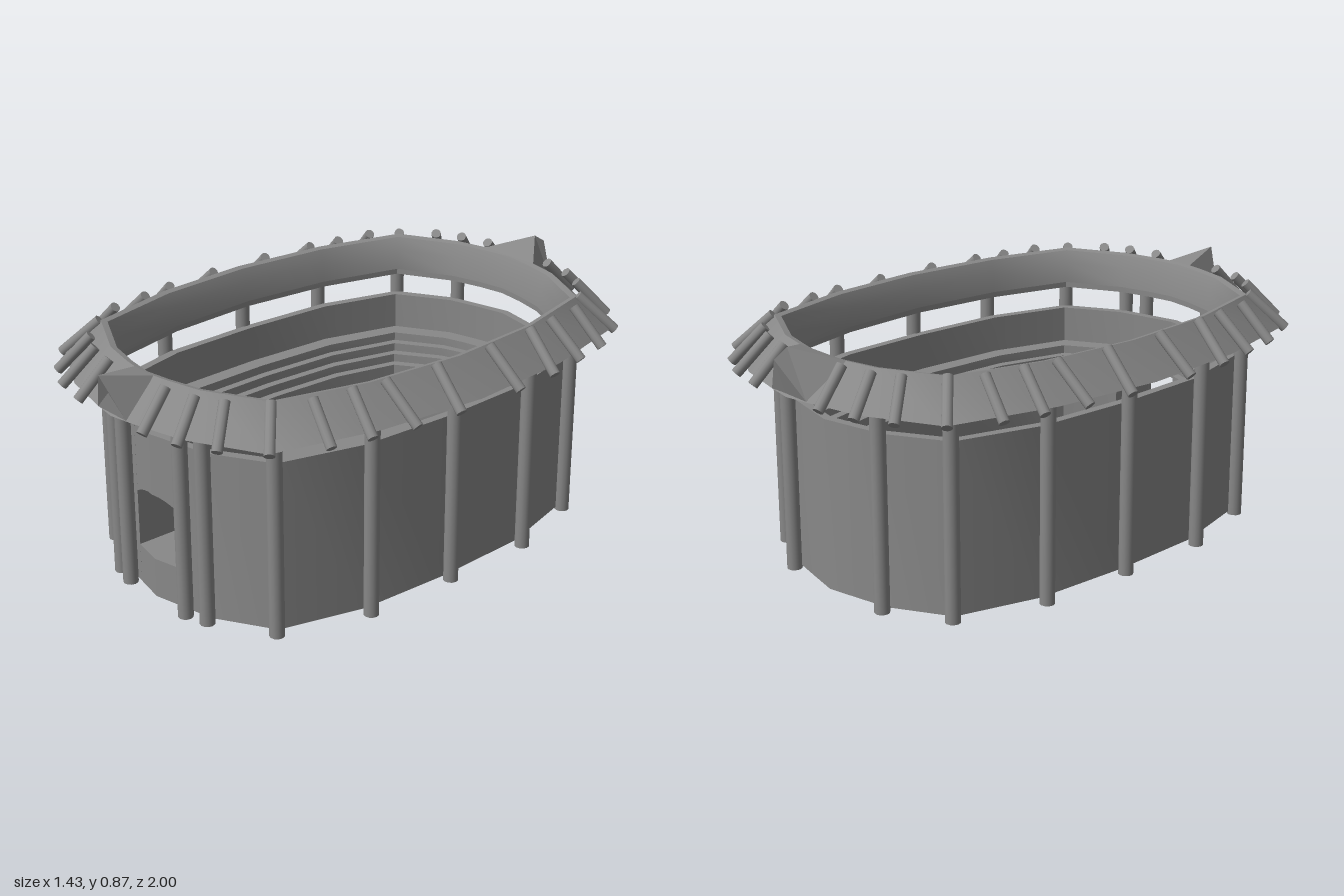
import * as THREE from 'three';
import { toCreasedNormals } from 'three/addons/utils/BufferGeometryUtils.js';

const grey = new THREE.MeshStandardMaterial({ color: 0x888888 });
const greyDouble = new THREE.MeshStandardMaterial({ color: 0x888888, side: THREE.DoubleSide });

// Quarter outlines [x, z], running from the side (+x) to the front (+z)
const WALL = [[0.53, 0], [0.515, 0.355], [0.433, 0.655], [0.235, 0.77], [0.115, 0.796], [0, 0.82]];
const RIDGE = [[0.565, 0], [0.535, 0.36], [0.45, 0.68], [0.235, 0.79], [0.1, 0.82], [0, 0.835]];
const EAVE = [[0.67, 0], [0.635, 0.4], [0.54, 0.77], [0.29, 0.9], [0.09, 0.945], [0, 0.96]];

// Shrinks an outline; points beside the doorway keep their x
const inset = (q, d) => q.map(([x, z]) => [x > 0.12 ? x * (1 - d / q[0][0]) : x, z * (1 - d / q[5][1])]);

// Mirrors a quarter outline into a full loop
function full(q) {
  const front = [...q, ...q.slice(0, -1).reverse().map(([x, z]) => [-x, z])];
  return [...front, ...front.slice(1, -1).reverse().map(([x, z]) => [x, -z])];
}

// Sweeps a closed section, given as [quarter outline, y] pairs, around the loop.
// With a doorway, the two front segments are left out and the ends capped.
function sweep(section, doorway, crease) {
  const loops = section.map(([q, y]) => full(q).map(([x, z]) => new THREE.Vector3(x, y, z)));
  const n = loops[0].length, m = loops.length, pos = [];
  const tri = (...pts) => pts.forEach((p) => pos.push(p.x, p.y, p.z));
  for (let i = 0; i < n; i++) {
    if (doorway && (i === 4 || i === 5)) continue;
    const k = (i + 1) % n;
    for (let j = 0; j < m; j++) {
      const lo = loops[j], hi = loops[(j + 1) % m];
      tri(lo[i], hi[i], hi[k]);
      tri(lo[i], hi[k], lo[k]);
    }
  }
  if (doorway) {
    for (const i of [4, 6]) {
      const flat = loops.map((l) => new THREE.Vector2(l[i].z, l[i].y));
      for (const f of THREE.ShapeUtils.triangulateShape(flat, [])) tri(...f.map((j) => loops[j][i]));
    }
  }
  const g = new THREE.BufferGeometry();
  g.setAttribute('position', new THREE.Float32BufferAttribute(pos, 3));
  return toCreasedNormals(g, crease);
}

// Round pole between two points
function pole(a, b, r) {
  const dir = b.clone().sub(a);
  const mesh = new THREE.Mesh(new THREE.CylinderGeometry(r, r, dir.length(), 12), grey);
  mesh.position.copy(a).lerp(b, 0.5);
  mesh.quaternion.setFromUnitVectors(new THREE.Vector3(0, 1, 0), dir.normalize());
  return mesh;
}

// Mesh from triangles that index a short list of corners
function facets(pts, faces) {
  const g = new THREE.BufferGeometry();
  g.setAttribute('position', new THREE.Float32BufferAttribute(faces.flat().flatMap((i) => pts[i]), 3));
  g.computeVertexNormals();
  return g;
}

export function createModel() {
  const model = new THREE.Group();
  const add = (name, geo, mat = grey) => {
    const mesh = new THREE.Mesh(geo, mat);
    mesh.name = name;
    model.add(mesh);
  };

  // Floor slab
  const floorShape = new THREE.Shape(full(inset(WALL, 0.006)).map(([x, z]) => new THREE.Vector2(x, z)));
  const floor = new THREE.ExtrudeGeometry(floorShape, { depth: 0.14, bevelEnabled: false });
  floor.rotateX(Math.PI / 2).translate(0, 0.15, 0);
  add('floor', floor);

  // Outer wall, open at the doorway
  const inner = inset(WALL, 0.03);
  add('wall', sweep([[WALL, 0.01], [WALL, 0.6], [inner, 0.6], [inner, 0.01]], true, 0.6), greyDouble);

  // Doorway: lintel with an arched underside and sill, one half per side, each sheared to follow the wall
  for (const s of [1, -1]) {
    const lintel = new THREE.Shape();
    lintel.moveTo(0, 0.6);
    for (let i = 0; i <= 4; i++) {
      const t = i / 4;
      lintel.lineTo(0.115 * s * t, 0.35 + 0.035 * (1 - t * t));
    }
    lintel.lineTo(0.115 * s, 0.6);
    const sill = new THREE.Shape([[0, 0.01], [0.115 * s, 0.01], [0.115 * s, 0.15], [0, 0.15]]
      .map(([x, y]) => new THREE.Vector2(x, y)));
    const half = new THREE.ExtrudeGeometry([lintel, sill], { depth: 0.03, bevelEnabled: false });
    const p = half.attributes.position;
    for (let i = 0; i < p.count; i++) p.setZ(i, p.getZ(i) + 0.79 - 0.21 * Math.abs(p.getX(i)));
    half.computeVertexNormals();
    add(s > 0 ? 'doorwayLeft' : 'doorwayRight', half);
  }

  // Stepped seating around the arena
  const steps = [];
  for (let i = 0; i < 4; i++) {
    const q = inset(WALL, 0.09 + 0.03 * i), y = 0.47 - 0.03 * i;
    steps.push([q, y], [q, i < 3 ? y - 0.03 : 0.15]);
  }
  add('seating', sweep([[inner, 0.15], [inner, 0.47], ...steps], true, 0.6), greyDouble);

  // Posts around the wall
  const posts = new THREE.Group();
  posts.name = 'posts';
  const addPost = (x, z) => posts.add(pole(new THREE.Vector3(x, 0, z), new THREE.Vector3(x, 0.72, z), 0.026));
  for (const s of [1, -1]) {
    addPost(0.55 * s, 0);
    addPost(0.153 * s, 0.815);
    for (const t of [1, -1]) {
      addPost(0.543 * s, 0.355 * t);
      addPost(0.443 * s, 0.67 * t);
      addPost(0.236 * s, 0.79 * t);
    }
  }
  model.add(posts);

  // Beam under the roof
  const beamOut = inset(RIDGE, 0.01), beamIn = inset(RIDGE, 0.05);
  add('beam', sweep([[beamOut, 0.68], [beamOut, 0.71], [beamIn, 0.71], [beamIn, 0.68]], false, 0.6));

  // Sloping roof ring
  add('roof', sweep([[EAVE, 0.705], [RIDGE, 0.82], [inset(RIDGE, 0.02), 0.815],
    [inset(RIDGE, 0.04), 0.77], [inset(RIDGE, 0.052), 0.7]], false, 0.85));

  // Logs half sunk into the roof: top x, z and eave x, z
  const logs = new THREE.Group();
  logs.name = 'roofLogs';
  const sideLogs = [[0.57, 0.11, 0.703, 0.125], [0.555, 0.315, 0.69, 0.3],
    [0.535, 0.435, 0.66, 0.46], [0.515, 0.575, 0.63, 0.6]];
  const endLogs = [[0.45, 0.685, 0.55, 0.775], [0.353, 0.785, 0.425, 0.875],
    [0.263, 0.83, 0.308, 0.937], [0.15, 0.855, 0.172, 0.967]];
  for (const s of [1, -1]) for (const t of [1, -1]) {
    const back = t < 0 ? 0.018 : 0;
    const spots = [...sideLogs.map(([x, z, ex, ez]) => [x, z + back, ex, ez + back]), ...endLogs];
    for (const [x, z, ex, ez] of spots) {
      logs.add(pole(new THREE.Vector3(x * s, 0.822, z * t), new THREE.Vector3(ex * s, 0.703, ez * t), 0.018));
    }
  }
  model.add(logs);

  // Small gable over the entrance: ridge, tip, bases, eaves, notch
  add('frontGable', facets([[0, 0.82, 0.83], [0, 0.853, 0.998], [0.05, 0.82, 0.825], [-0.05, 0.82, 0.825],
    [0.075, 0.712, 0.955], [-0.075, 0.712, 0.955], [0, 0.785, 0.965]],
  [[0, 1, 2], [1, 4, 2], [0, 3, 1], [1, 3, 5], [1, 6, 4], [1, 5, 6], [6, 5, 4]]), greyDouble);

  // Wider gable at the back: peak, tip, bases, eaves
  add('backGable', facets([[0, 0.866, -0.95], [0, 0.835, -1], [0.12, 0.82, -0.815], [-0.12, 0.82, -0.815],
    [0.09, 0.71, -0.95], [-0.09, 0.71, -0.95], [0, 0.72, -0.965]],
  [[0, 3, 2], [0, 2, 4], [0, 4, 1], [0, 5, 3], [0, 1, 5], [1, 4, 6], [1, 6, 5]]), greyDouble);

  return model;
}
